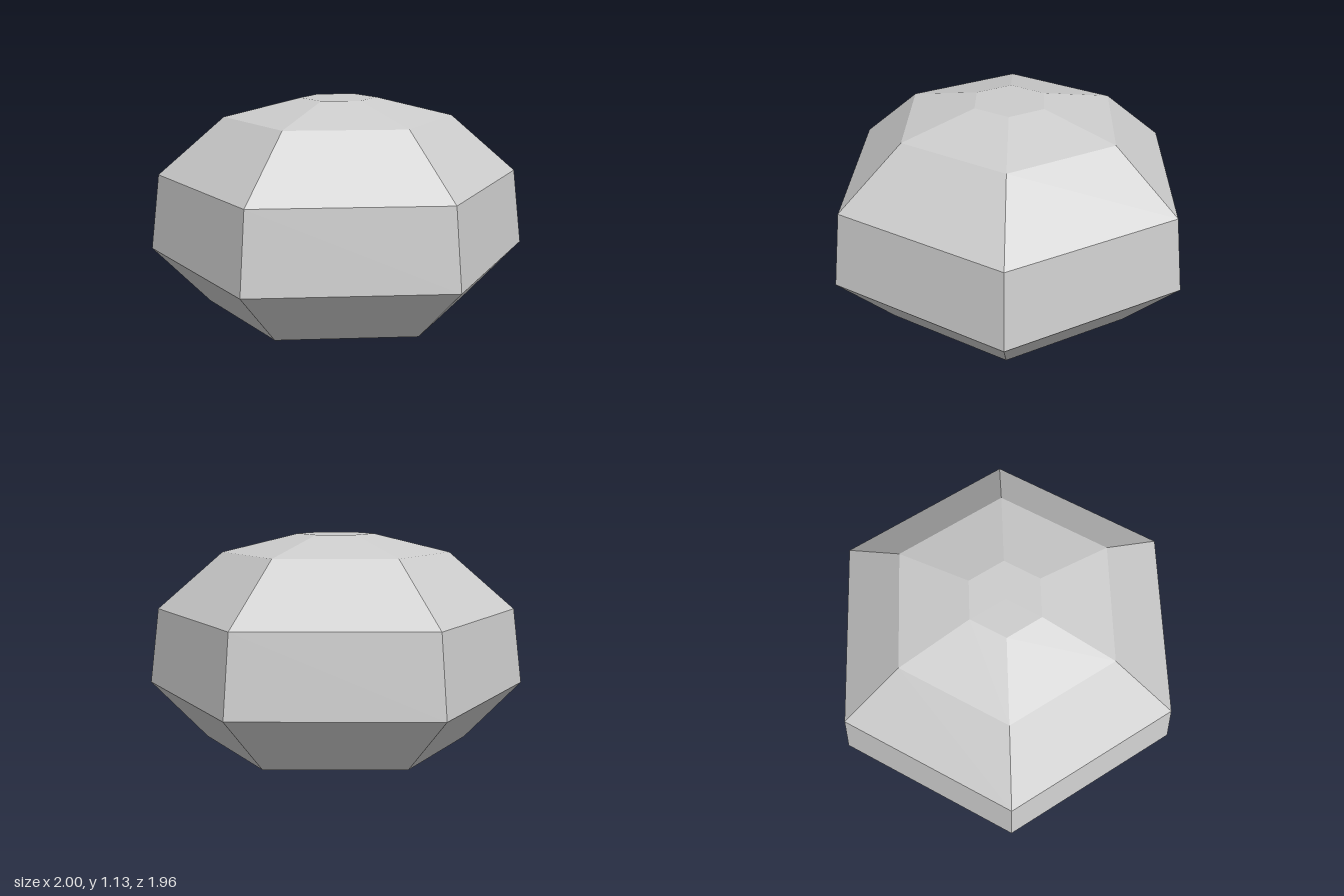
import * as THREE from 'three';

export function createModel() {
  const model = new THREE.Group();
  const grey = new THREE.MeshStandardMaterial({
    color: 0xcccccc, flatShading: true, side: THREE.DoubleSide,
  });
  grey.name = 'stone grey';

  const SIDES = 6;
  const TURN = THREE.MathUtils.degToRad(12.6); // corner angle from +x towards +z

  // Each ring of the shell: corner radius, height
  const rings = [
    [0.717, 0],
    [1.025, 0.31],
    [0.973, 0.72],
    [0.615, 1.03],
    [0.205, 1.13],
  ];

  // Faceted shell, open underneath, one mesh per band
  const names = ['lowerFlare', 'sideWall', 'domeSlope', 'shallowRoof'];
  names.forEach((name, i) => {
    const profile = [rings[i], rings[i + 1]].map(([r, y]) => new THREE.Vector2(r, y));
    const band = new THREE.LatheGeometry(profile, SIDES, Math.PI / 2 - TURN).toNonIndexed();
    band.computeVertexNormals();
    const mesh = new THREE.Mesh(band, grey);
    mesh.name = name;
    model.add(mesh);
  });

  // Flat cap closing the top
  const [capRadius, capHeight] = rings[rings.length - 1];
  const cap = new THREE.Mesh(
    new THREE.CircleGeometry(capRadius, SIDES, -TURN).rotateX(-Math.PI / 2), grey);
  cap.position.y = capHeight;
  cap.name = 'topCap';
  model.add(cap);

  return model;
}
